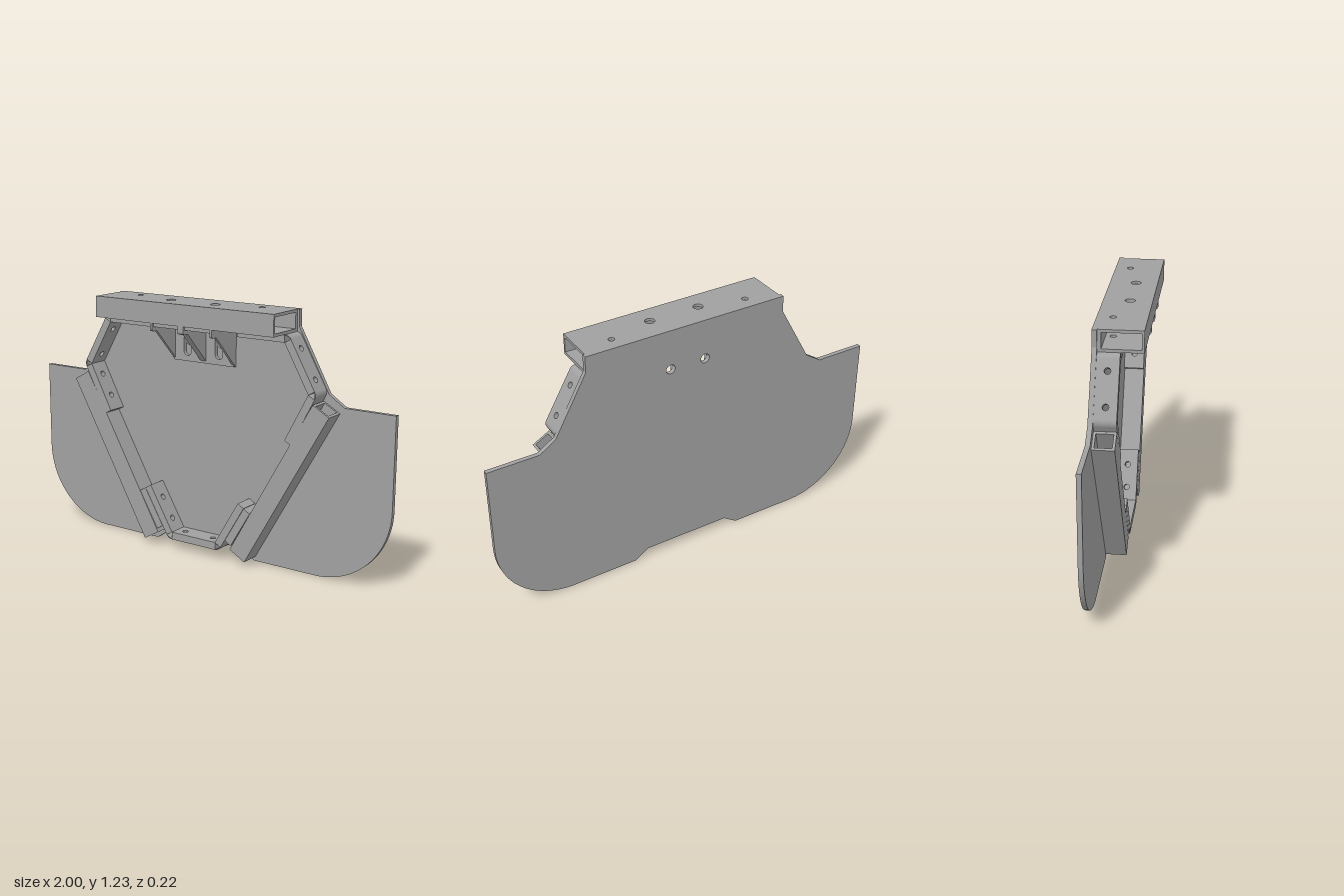
import * as THREE from 'three';

const grey = new THREE.MeshStandardMaterial({ color: 0xa0a0a0 });
grey.name = 'plain grey';

const Z0 = -0.09, Z1 = 0.01, DEPTH = Z1 - Z0, T = 0.037;
const vec = (x, y) => new THREE.Vector2(x, y);
const mirror = (pts) => pts.map((p) => vec(-p.x, p.y)).reverse();

function addHole(shape, x, y, r) {
  shape.holes.push(new THREE.Path().absarc(x, y, r, 0, Math.PI * 2, true));
}

function rect(x0, y0, x1, y1) {
  return new THREE.Shape([vec(x0, y0), vec(x1, y0), vec(x1, y1), vec(x0, y1)]);
}

function extrude(shape, depth, curveSegments = 24) {
  return new THREE.ExtrudeGeometry(shape, { depth, bevelEnabled: false, curveSegments });
}

export function createModel() {
  const model = new THREE.Group();
  const add = (name, geometry, parent = model) => {
    const mesh = new THREE.Mesh(geometry, grey);
    mesh.name = name;
    parent.add(mesh);
    return mesh;
  };
  const place = (geo, x, y, z, ax, ay, az) =>
    geo.applyMatrix4(new THREE.Matrix4().makeBasis(ax, ay, az).setPosition(x, y, z));
  const box = (name, x0, y0, z0, x1, y1, z1, parent) =>
    add(name, new THREE.BoxGeometry(x1 - x0, y1 - y0, z1 - z0)
      .translate((x0 + x1) / 2, (y0 + y1) / 2, (z0 + z1) / 2), parent);

  // Direction a to b, with its outward normal for a counterclockwise path
  const frame = (a, b) => {
    const d = b.clone().sub(a), length = d.length();
    d.divideScalar(length);
    return { length, dir: new THREE.Vector3(d.x, d.y, 0), out: new THREE.Vector3(d.y, -d.x, 0) };
  };
  const zAxis = new THREE.Vector3(0, 0, 1);

  // Flat strip standing on the plate, drilled at fractions of its length
  function strip(name, a, b, holes, parent, thickness = T) {
    const { length, dir, out } = frame(a, b);
    const s = rect(0, Z0, length, Z1);
    holes.forEach((h) => addHole(s, h * length, -0.04, 0.014));
    add(name, place(extrude(s, thickness), a.x, a.y, 0, dir, zAxis, out), parent);
  }

  // Bent strip: straight legs joined by rounded corners
  function bentStrip(name, pts, holes) {
    const group = new THREE.Group();
    group.name = name;
    model.add(group);
    for (let i = 0; i < pts.length - 1; i++) {
      strip(name + 'Leg', pts[i], pts[i + 1], holes[i], group);
      if (i === 0) continue;
      const n0 = frame(pts[i - 1], pts[i]).out, n1 = frame(pts[i], pts[i + 1]).out;
      const s = new THREE.Shape();
      s.moveTo(pts[i].x, pts[i].y);
      s.absarc(pts[i].x, pts[i].y, T, Math.atan2(n0.y, n0.x), Math.atan2(n1.y, n1.x), false);
      add(name + 'Bend', extrude(s, DEPTH, 8).translate(0, 0, Z0), group);
    }
  }

  // Back plate with rounded lower corners and two bolt holes
  const plate = new THREE.Shape();
  plate.moveTo(-0.22, 0.047);
  plate.lineTo(0.22, 0.047);
  plate.lineTo(0.29, 0);
  plate.lineTo(0.62, 0);
  plate.absarc(0.62, 0.38, 0.38, -Math.PI / 2, 0, false);
  [[1, 0.81], [0.75, 0.81], [0.67, 0.862], [0.51, 1.15], [0.51, 1.228],
    [-0.51, 1.228], [-0.51, 1.15], [-0.67, 0.862], [-0.75, 0.81], [-1, 0.81]]
    .forEach(([x, y]) => plate.lineTo(x, y));
  plate.lineTo(-1, 0.38);
  plate.absarc(-0.62, 0.38, 0.38, Math.PI, Math.PI * 1.5, false);
  plate.lineTo(-0.29, 0);
  [-0.09, 0.09].forEach((x) => addHole(plate, x, 1.03, 0.023));
  add('backPlate', extrude(plate, 0.022, 32).translate(0, 0, -0.111));

  // Rectangular top tube, drilled from above
  const beam = new THREE.Group();
  beam.name = 'topBeam';
  model.add(beam);
  for (const [name, y] of [['beamTop', 1.214], ['beamBottom', 1.127]]) {
    const s = rect(-0.5, -0.11, 0.5, 0.089);
    for (const sx of [-1, 1]) {
      addHole(s, sx * 0.345, 0.04, 0.015);
      addHole(s, sx * 0.125, -0.01, 0.023);
    }
    add(name, extrude(s, 0.014).rotateX(-Math.PI / 2).translate(0, y, 0), beam);
  }
  box('beamFront', -0.5, 1.141, 0.098, 0.5, 1.214, 0.11, beam);
  box('beamBack', -0.5, 1.141, -0.089, 0.5, 1.214, -0.073, beam);

  // Upper bent brackets and slanted side tubes, one per side
  const upper = [vec(0.503, 0.647), vec(0.621, 0.87), vec(0.495, 1.09), vec(0.245, 1.09)];
  const tubeEdge = [vec(0.213, 0.069), vec(0.645, 0.829)];
  const spacer = [vec(0.161, 0.067), vec(0.29, 0.285)];
  const upperHoles = [[0.3, 0.75], [0.2, 0.8], [0.6]];
  for (const side of ['left', 'right']) {
    const flip = (pts) => (side === 'left' ? pts : mirror(pts));
    const holes = side === 'left' ? upperHoles
      : upperHoles.map((h) => h.map((v) => 1 - v)).reverse();
    bentStrip(side + 'UpperBracket', flip(upper), holes);

    const [a, b] = flip(tubeEdge);
    const { length, dir, out } = frame(a, b);
    const s = rect(0, Z0, 0.095, Z1);
    s.holes.push(new THREE.Path([vec(0.012, Z0 + 0.012), vec(0.012, Z1 - 0.012),
      vec(0.083, Z1 - 0.012), vec(0.083, Z0 + 0.012)]));
    add(side + 'SideTube', place(extrude(s, length), b.x, b.y, 0, out, zAxis, dir.negate()));

    const [c, d] = flip(spacer.map((p, i) => (i ? p : vec(0.185, 0.107))));
    strip(side + 'LowerSpacer', c, d, [], model, 0.038);
  }

  // Lower bent bracket
  bentStrip('lowerBracket',
    [vec(-0.257, 0.305), vec(-0.128, 0.086), vec(0.128, 0.086), vec(0.257, 0.305)],
    [[0.3, 0.75], [0.18, 0.82], [0.25, 0.7]]);

  // Centre mount: slotted pads between triangular gussets
  const mount = new THREE.Group();
  mount.name = 'centreMount';
  model.add(mount);
  box('mountFlange', -0.175, 1.11, -0.089, 0.175, 1.127, 0.1, mount);
  const pad = rect(-0.172, 0.93, 0.172, 1.115);
  for (const x of [-0.09, 0.09]) {
    const slot = new THREE.Path();
    slot.absarc(x, 1.06, 0.021, 0, Math.PI, false);
    slot.absarc(x, 0.978, 0.021, Math.PI, Math.PI * 2, false);
    slot.closePath();
    pad.holes.push(slot);
  }
  add('mountPad', extrude(pad, 0.018).translate(0, 0, -0.089), mount);
  const gusset = new THREE.Shape([[-0.089, 1.127], [-0.089, 0.93], [-0.083, 0.93], [0.073, 1.088],
    [0.098, 1.088], [0.107, 1.092], [0.11, 1.1], [0.11, 1.127]].map(([z, y]) => vec(-z, y)));
  for (const [x, w] of [[-0.175, 0.013], [-0.016, 0.032], [0.162, 0.013]]) {
    add('mountGusset', extrude(gusset, w).rotateY(Math.PI / 2).translate(x, 0, 0), mount);
  }
  return model;
}
